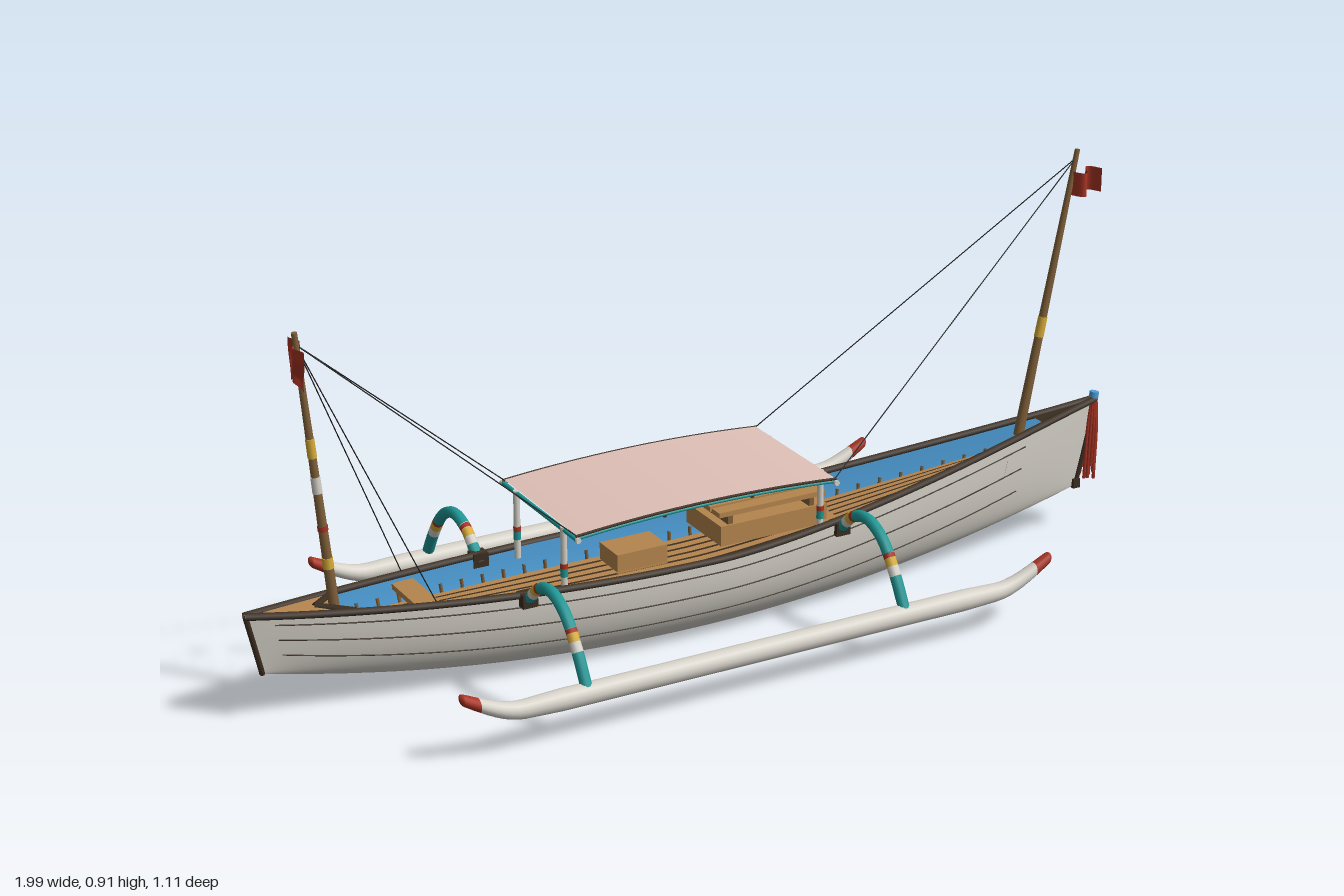
import * as THREE from 'three';
import { ParametricGeometry } from 'three/addons/geometries/ParametricGeometry.js';

const mat = (name, color, side = THREE.FrontSide) => {
  const m = new THREE.MeshStandardMaterial({ color, side });
  m.name = name;
  return m;
};
const V = (x, y, z) => new THREE.Vector3(x, y, z);

// Hull rules: t runs stern (-1) to bow (1), s runs gunwale to gunwale (-1..1)
const beam = (t) => 0.003 + 0.135 * (t > 0 ? (1 - t ** 1.6) ** 1.15 : 1 - (-t) ** 2.1);
const sheer = (t) => 0.195 + (t > 0 ? 0.113 * t ** 1.4 : 0.043 * t * t);
const keel = (t) => 0.105 * Math.abs(t) ** 2.3;
function hullPoint(t, s, inset = 0) {
  const a = s * Math.PI / 2;
  const low = Math.abs(Math.cos(a)) ** 0.8;
  const b = beam(t) * (1 - inset * 6);
  const x = t * (1.025 - (t > 0 ? 0.045 : 0.03) * low);
  const y = sheer(t) - (sheer(t) - keel(t) - inset) * low;
  return V(x, y, b * Math.sign(s) * Math.abs(Math.sin(a)) ** 0.8);
}

export function createModel() {
  const white = mat('paintedWhite', 0xd6d2c9, THREE.DoubleSide);
  const blue = mat('innerBlue', 0x4fa0da, THREE.DoubleSide);
  const wood = mat('plankWood', 0xb5854e, THREE.DoubleSide);
  const brown = mat('poleWood', 0x80603a);
  const dark = mat('darkWood', 0x3b2d20, THREE.DoubleSide);
  const teal = mat('teal', 0x1f9896);
  const red = mat('red', 0xa83424, THREE.DoubleSide);
  const yellow = mat('yellow', 0xd8ac38);
  const pink = mat('canopyCloth', 0xdfc0b7, THREE.DoubleSide);
  const black = mat('rope', 0x202020);

  const boat = new THREE.Group();
  boat.name = 'boat';
  const add = (name, geo, m) => {
    const mesh = new THREE.Mesh(geo, m);
    mesh.name = name;
    boat.add(mesh);
    return mesh;
  };
  const box = (name, m, w, h, d, x, y, z) => add(name, new THREE.BoxGeometry(w, h, d), m).position.set(x, y, z);
  const surface = (name, m, fn, nu, nv) =>
    add(name, new ParametricGeometry((u, v, p) => p.copy(fn(u, v)), nu, nv), m);
  const rod = (name, m, a, b, r0, r1 = r0, sides = 10) => {
    const mesh = add(name, new THREE.CylinderGeometry(r1, r0, a.distanceTo(b), sides), m);
    mesh.position.copy(a).lerp(b, 0.5);
    mesh.quaternion.setFromUnitVectors(V(0, 1, 0), b.clone().sub(a).normalize());
  };
  const tube = (name, m, pts, r, n = 40, sides = 8) =>
    add(name, new THREE.TubeGeometry(new THREE.CatmullRomCurve3(pts), n, r, sides), m);
  // Pole painted in bands: each band is [from, to, material] along the pole
  const bandedRod = (name, base, a, b, r0, r1, bands) => {
    rod(name, base, a, b, r0, r1);
    for (const [f, g, m] of bands) {
      const r = (k) => r0 + (r1 - r0) * k + 0.0012;
      rod(name + 'Band', m, a.clone().lerp(b, f), a.clone().lerp(b, g), r(f), r(g));
    }
  };
  const steps = (n, fn) => Array.from({ length: n + 1 }, (_, i) => fn(i / n));

  // Hull shells
  surface('hull', white, (u, v) => hullPoint(u * 2 - 1, v * 2 - 1), 64, 36);
  surface('innerHull', blue, (u, v) => hullPoint((u * 2 - 1) * 0.985, v * 2 - 1, 0.01), 64, 24);

  // Gunwales, plank seams and rib ends above the floor
  for (const side of [-1, 1]) {
    tube('gunwale', dark, steps(24, (k) => hullPoint(k * 2 - 1, side)), 0.0085, 64, 6);
    for (const s of [0.61, 0.8, 0.94])
      tube('plankSeam', dark, steps(30, (k) => hullPoint(k * 1.75 - 0.95, side * s)), 0.0016, 64, 6);
    for (let i = -15; i <= 15; i++)
      tube('ribEnd', brown, steps(2, (k) => hullPoint(i * 0.05, side * (0.78 + 0.12 * k), 0.013)), 0.004, 3, 5);
  }
  // Stem and stern posts
  for (const t of [-1, 1]) tube('endPost', dark, steps(8, (k) => hullPoint(t, k)), 0.006, 14, 6);
  box('stemFoot', dark, 0.018, 0.022, 0.018, 0.98, 0.112, 0);

  // Floor with lengthwise planks
  const floorAt = (u, w, up) => {
    const t = -0.85 + 1.7 * u;
    return V(t * 1.01, sheer(t) - 0.055 + up, beam(t) * 0.76 * w);
  };
  surface('floorBase', dark, (u, v) => floorAt(u, v * 2 - 1, 0), 40, 1);
  const planks = 8;
  for (let i = 0; i < planks; i++)
    surface('floorPlank', wood, (u, v) => floorAt(u, ((i + 0.14 + v * 0.72) / planks) * 2 - 1, 0.004), 40, 1);

  // End decks, with a dark chevron sill at the stern
  const deck = (m, t0, t1) => surface('endDeck', m, (u, v) => {
    const t = t0 + (t1 - t0) * u;
    return V(t * 1.025, sheer(t) + 0.001, beam(t) * (v * 2 - 1));
  }, 10, 2);
  deck(wood, -0.82, -1);
  deck(dark, 0.85, 1);
  for (const side of [-1, 1])
    rod('deckSill', dark, V(-0.81, sheer(-0.8), side * beam(-0.8)), V(-0.875, sheer(-0.85), 0), 0.008);

  // Cross seats, slatted bench and low locker
  for (const x of [-0.65, 0.275]) {
    const t = x / 1.025;
    box('crossSeat', wood, 0.05, 0.012, beam(t) * 1.85, x, sheer(t) - 0.018, 0);
  }
  box('benchBase', wood, 0.26, 0.045, 0.15, 0.145, 0.214, 0);
  for (let i = 0; i < 4; i++) box('benchSlat', wood, 0.26, 0.011, 0.032, 0.14, 0.263, -0.06 + i * 0.04);
  for (const x of [0.04, 0.24]) box('benchRail', brown, 0.012, 0.022, 0.14, x, 0.247, 0);
  box('locker', wood, 0.12, 0.045, 0.08, -0.13, 0.162, -0.045);

  // Arched cloth canopy on posts
  const roofY = (x) => 0.332 + 0.013 * (1 - ((x + 0.067) / 0.305) ** 2);
  surface('canopy', pink, (u, v) => {
    const x = -0.372 + 0.61 * u;
    return V(x, roofY(x) + 0.004, (v * 2 - 1) * 0.167);
  }, 20, 2);
  for (const side of [-1, 1]) {
    const edge = (y) => steps(10, (k) => V(-0.375 + 0.615 * k, roofY(-0.372 + 0.61 * k) + y, side * 0.167));
    tube('canopyEdge', dark, edge(0.002), 0.0032, 24, 6);
    tube('canopyRail', teal, edge(-0.003), 0.0038, 24);
    for (const x of [-0.372, 0.238]) {
      bandedRod('canopyPost', white, V(x, 0.18, side * 0.108), V(x, 0.333, side * 0.108), 0.007, 0.007,
        [[0.28, 0.4, teal], [0.4, 0.47, red]]);
      rod('crossbarCap', white, V(x, 0.327, side * 0.169), V(x, 0.327, side * 0.176), 0.006);
    }
  }
  for (const [x, m] of [[-0.372, teal], [-0.17, dark], [0.036, dark], [0.238, teal]])
    rod('canopyCrossbar', m, V(x, roofY(x) - 0.005, -0.169), V(x, roofY(x) - 0.005, 0.169), 0.005);

  // Tapered floats with upturned red tips: d is the distance to the nearer tip
  const x0 = -0.737, x1 = 0.652;
  const float = (name, m, from, to, z, n) => surface(name, m, (u, v) => {
    const x = from + (to - from) * u, d = Math.min(x - x0, x1 - x), a = v * Math.PI * 2;
    const lift = 1 - THREE.MathUtils.smoothstep(d, -0.1, 0.14);
    const r = Math.min(0.0115 + 0.0115 * Math.min(1, d / 0.22) ** 0.7, Math.sqrt(Math.max(0, d) * 0.02) + 0.001);
    return V(x, 0.093 + 0.088 * lift, z).add(V(0, r * Math.cos(a), r * Math.sin(a)));
  }, n, 16);
  const bands = [[0, 0.2, teal], [0.2, 0.26, white], [0.26, 0.31, yellow], [0.31, 0.335, red], [0.335, 0.74, teal],
    [0.74, 0.77, red], [0.77, 0.82, yellow], [0.82, 0.87, white], [0.87, 0.93, teal], [0.93, 1, dark]];
  for (const side of [-1, 1]) {
    const z = side * 0.372;
    float('float', white, x0 + 0.042, x1 - 0.042, z, 80);
    float('floatTip', red, x0, x0 + 0.042, z, 14);
    float('floatTip', red, x1 - 0.042, x1, z, 14);
    // Banded arched arms from hull to float
    for (const x of [-0.46, 0.284]) {
      const arch = new THREE.CatmullRomCurve3([[0.374, 0.105], [0.335, 0.17], [0.285, 0.23], [0.225, 0.255],
        [0.17, 0.24], [0.13, 0.205], [0.105, 0.185]].map(([w, y]) => V(x, y, side * w)));
      for (const [f, g, m] of bands)
        add('outriggerArm', new THREE.TubeGeometry(new THREE.CatmullRomCurve3(
          steps(5, (k) => arch.getPointAt(f + (g - f) * k))), 8, 0.0125, 10), m);
      box('armLashing', dark, 0.034, 0.03, 0.03, x, 0.195, side * 0.115);
    }
  }

  // Masts
  const sternTop = V(-0.895, 0.815, 0.008), bowTop = V(0.947, 0.905, 0);
  bandedRod('sternMast', brown, V(-0.838, 0.225, 0.008), sternTop, 0.011, 0.006,
    [[0.14, 0.18, yellow], [0.28, 0.3, red], [0.42, 0.48, white], [0.55, 0.62, yellow]]);
  bandedRod('bowMast', brown, V(0.82, 0.26, 0), bowTop, 0.012, 0.006, [[0.35, 0.42, yellow]]);

  // Rigging lines
  const rope = (a, b) => rod('rigging', black, a, b, 0.0013, 0.0013, 5);
  const sternTie = V(-0.893, 0.79, 0.008), bowTie = V(0.943, 0.885, 0);
  for (const side of [-1, 1]) {
    rope(sternTie, V(-0.372, 0.335, side * 0.166));
    rope(bowTie, V(0.238, 0.335, side * 0.166));
    rope(sternTie, hullPoint(-0.63, side));
  }

  // Rippled bow flag
  surface('bowFlag', red, (u, v) => V(0.932 + 0.083 * u, 0.857 - 0.054 * v - 0.006 * u,
    0.026 * Math.sin(u * 6.3)), 20, 4);
  // Tapering stern pennant, hung across the mast and swallow-tailed below
  const pennant = surface('sternPennant', red, (u, v) => {
    const k = u * 2 - 1;
    const half = 0.053 * (1 - 0.62 * THREE.MathUtils.smoothstep(v, 0.25, 0.8));
    return V(k * half, 0.79 - v * (0.068 + 0.022 * k * k - 0.008 * k), 0.01 * Math.sin(k * 5));
  }, 20, 12);
  pennant.position.set(-0.893, 0, 0.008);
  pennant.rotation.y = Math.PI / 2 - 0.276;

  // Bow cap and hanging tassel strands
  rod('bowCap', blue, V(1.02, 0.298, 0), V(1.024, 0.325, 0), 0.011, 0.011);
  for (let i = 0; i < 14; i++) {
    const a = i / 14 * Math.PI * 2, c = Math.cos(a), s = Math.sin(a);
    const drop = 0.14 + 0.045 * Math.abs(Math.sin(i * 2.3));
    tube('tasselStrand', red, [V(1.02 + c * 0.008, 0.304, s * 0.009), V(1.017 + c * 0.013, 0.25, s * 0.016),
      V(1.012 + c * 0.014, 0.304 - drop, s * 0.02)], 0.004, 8, 5);
  }

  // Heading of the whole boat
  boat.rotation.y = 0.276;
  boat.position.set(-0.005, 0, -0.015);
  const model = new THREE.Group();
  model.name = 'outriggerBoat';
  model.add(boat);
  return model;
}
